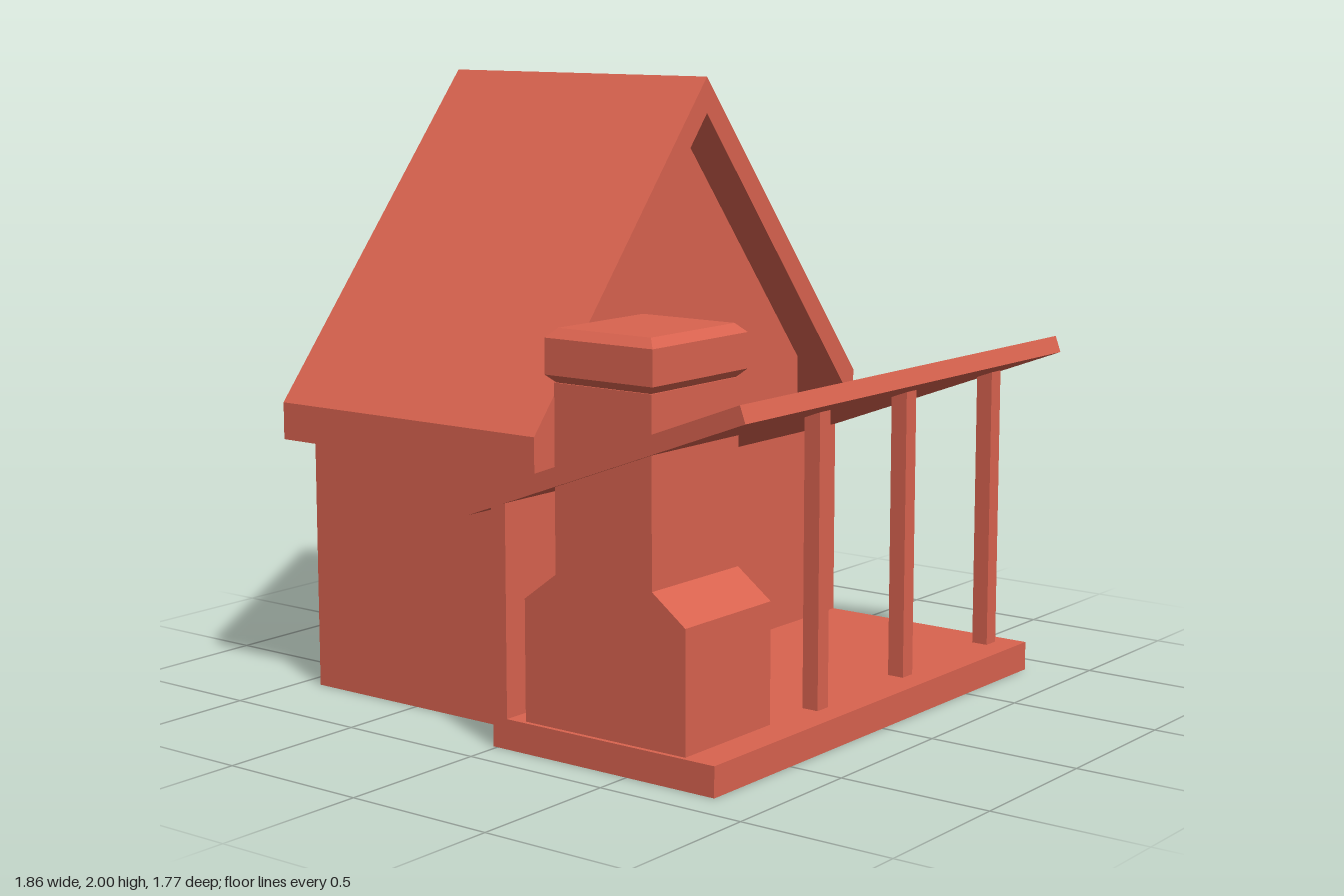
import * as THREE from 'three';

const material = new THREE.MeshStandardMaterial({ color: 0xd9634f, flatShading: true });

function add(group, name, geometry) {
  const mesh = new THREE.Mesh(geometry, material);
  mesh.name = name;
  group.add(mesh);
  return mesh;
}

const outline = (points) => new THREE.Shape(points.map(([a, b]) => new THREE.Vector2(a, b)));

// Profile in x and y, running along z
function alongZ(points, z0, z1) {
  return new THREE.ExtrudeGeometry(outline(points), { depth: z1 - z0, bevelEnabled: false })
    .translate(0, 0, z0);
}

// Profile in z and y, running along x
function alongX(points, x0, x1) {
  return new THREE.ExtrudeGeometry(outline(points), { depth: x1 - x0, bevelEnabled: false })
    .rotateY(-Math.PI / 2).translate(x1, 0, 0);
}

function block(x0, x1, y0, y1, z0, z1) {
  return new THREE.BoxGeometry(x1 - x0, y1 - y0, z1 - z0)
    .translate((x0 + x1) / 2, (y0 + y1) / 2, (z0 + z1) / 2);
}

export function createModel() {
  const model = new THREE.Group();
  model.name = 'cabin';

  // House body with gable ends, just under the roof
  const ridgeZ = -0.01, slope = 1.203, under = 1.885;
  const wall = 0.715, eave = 0.853;
  const wallTop = under - wall * slope;
  add(model, 'houseBody', alongX([
    [ridgeZ - wall, 0], [ridgeZ + wall, 0], [ridgeZ + wall, wallTop],
    [ridgeZ, under], [ridgeZ - wall, wallTop],
  ], -0.93, -0.015));

  // Steep main roof with plumb-cut eaves, overhanging the porch side
  const drop = eave * slope;
  add(model, 'mainRoof', alongX([
    [ridgeZ - eave, under - drop - 0.015], [ridgeZ, under], [ridgeZ + eave, under - drop - 0.015],
    [ridgeZ + eave, 2 - drop - 0.01], [ridgeZ, 2], [ridgeZ - eave, 2 - drop - 0.01],
  ], -0.93, 0.125));

  // Porch floor and back wall
  add(model, 'porchFloor', block(0.03, 0.82, 0, 0.095, -0.88, 0.88));
  add(model, 'porchWall', alongZ([
    [-0.015, 0], [0.04, 0], [0.04, 0.762], [-0.015, 0.742],
  ], -0.88, 0.88));

  // Tilted porch roof
  add(model, 'porchRoof', alongZ([
    [-0.105, 0.706], [0.926, 1.092], [0.907, 1.144], [-0.124, 0.758],
  ], -0.883, 0.883));

  // Porch posts, cut to the slope of the roof
  for (const z of [0.21, -0.273, -0.795]) {
    add(model, 'porchPost', alongZ([
      [0.68, 0.095], [0.736, 0.095], [0.736, 1.021], [0.68, 1.0],
    ], z - 0.028, z + 0.028));
  }

  // Chimney with sloping shoulders
  add(model, 'chimney', alongZ([
    [0.102, 0.095], [0.705, 0.095], [0.705, 0.475], [0.584, 0.565],
    [0.584, 1.14], [0.223, 1.14], [0.223, 0.565], [0.102, 0.475],
  ], 0.445, 0.865));

  // Bevelled chimney cap
  const bevel = 0.028, halfX = 0.2 - bevel, halfZ = 0.229 - bevel;
  const cap = new THREE.ExtrudeGeometry(
    outline([[-halfX, -halfZ], [halfX, -halfZ], [halfX, halfZ], [-halfX, halfZ]]),
    { depth: 0.109, bevelSize: bevel, bevelThickness: bevel, bevelSegments: 1 },
  ).rotateX(-Math.PI / 2);
  add(model, 'chimneyCap', cap).position.set(0.402, 1.164, 0.654);

  return model;
}
